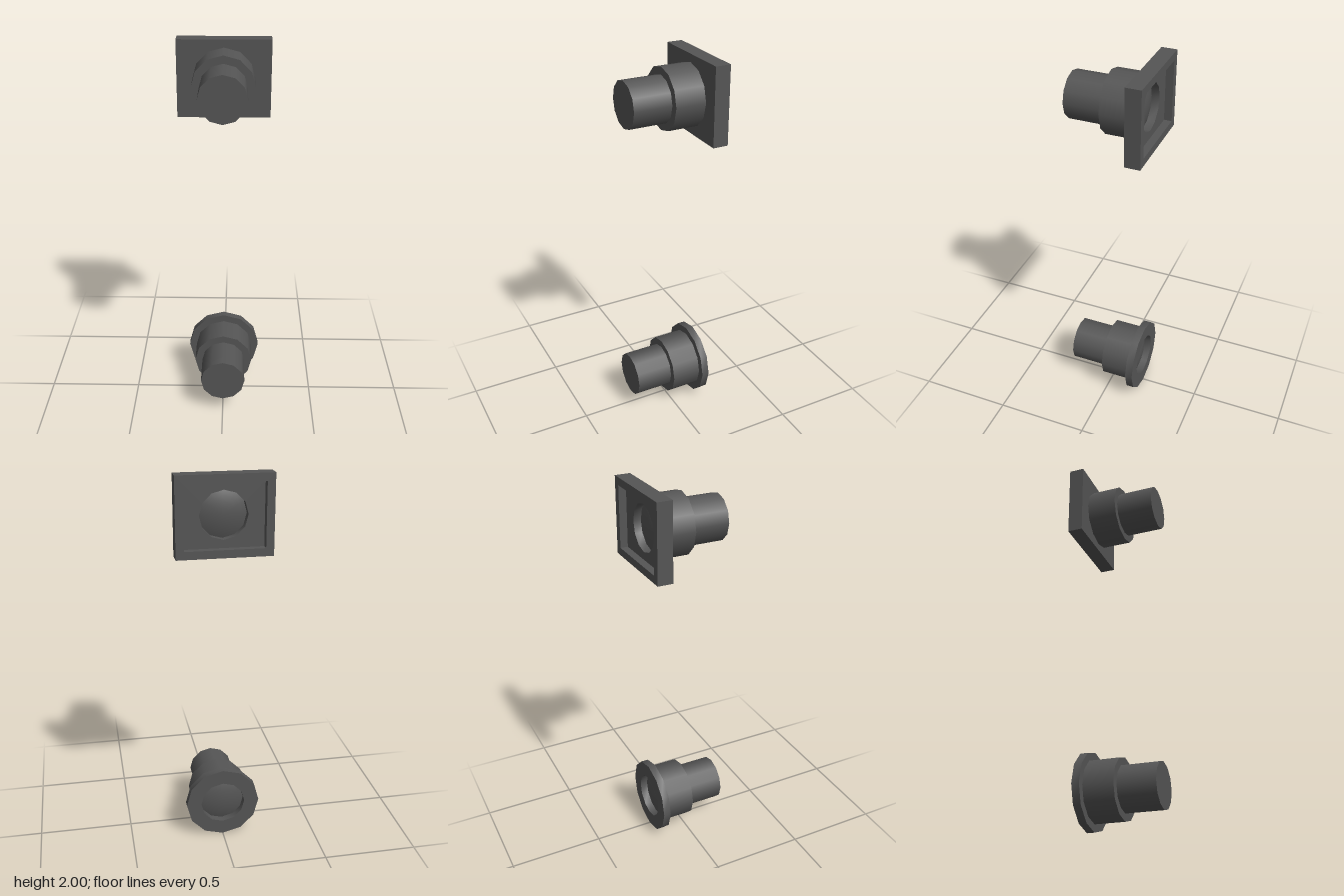
import * as THREE from 'three';
import { toCreasedNormals } from 'three/addons/utils/BufferGeometryUtils.js';

const SIDES = 12;

export function createModel() {
  const model = new THREE.Group();
  const darkGrey = new THREE.MeshStandardMaterial({ color: 0x555555 });
  darkGrey.name = 'darkGrey';

  function add(parent, name, geometry) {
    const mesh = new THREE.Mesh(geometry, darkGrey);
    mesh.name = name;
    parent.add(mesh);
  }

  // Cylinder lying along z
  function drum(radius, back, front) {
    return new THREE.CylinderGeometry(radius, radius, front - back, SIDES)
      .rotateX(Math.PI / 2).translate(0, 0, (front + back) / 2);
  }

  function rectangle(w, h, Type = THREE.Shape) {
    return new Type([[-1, -1], [1, -1], [1, 1], [-1, 1]]
      .map(([x, y]) => new THREE.Vector2(x * w / 2, y * h / 2)));
  }

  const circle = (radius, Type = THREE.Shape) =>
    new Type().absarc(0, 0, radius, 0, Math.PI * 2, false);

  // Flat plate with an opening, extruded along z
  function plate(outline, hole, back, front) {
    outline.holes.push(hole);
    const geometry = new THREE.ExtrudeGeometry(outline, {
      depth: front - back, bevelEnabled: false, curveSegments: SIDES / 2,
    }).translate(0, 0, back);
    return toCreasedNormals(geometry, 0.6);
  }

  // Shallow lens cap bulging towards -z
  function dome(radius, height, z) {
    const r = (radius * radius + height * height) / (2 * height);
    return new THREE.SphereGeometry(r, SIDES, 4, 0, Math.PI * 2, 0, Math.asin(radius / r))
      .translate(0, height - r, 0).rotateX(-Math.PI / 2).translate(0, 0, z);
  }

  // Barrel, body and lens shared by both units
  function unit(name, y) {
    const group = new THREE.Group();
    group.name = name;
    group.position.y = y;
    add(group, 'barrel', drum(0.12, 0.02, 0.22));
    add(group, 'body', drum(0.16, -0.14, 0.02));
    add(group, 'lens', dome(0.12, 0.02, -0.14));
    model.add(group);
    return group;
  }

  // Upper unit with rectangular recessed hood
  const upper = unit('upperUnit', 1.8);
  add(upper, 'hoodPanel', plate(rectangle(0.48, 0.4), circle(0.12, THREE.Path), -0.18, -0.14));
  add(upper, 'hoodFrame', plate(rectangle(0.48, 0.4), rectangle(0.4, 0.32, THREE.Path), -0.22, -0.18));

  // Lower unit with round flange
  const lower = unit('lowerUnit', 0.2);
  add(lower, 'flange', plate(circle(0.2), circle(0.12, THREE.Path), -0.18, -0.14));

  return model;
}
